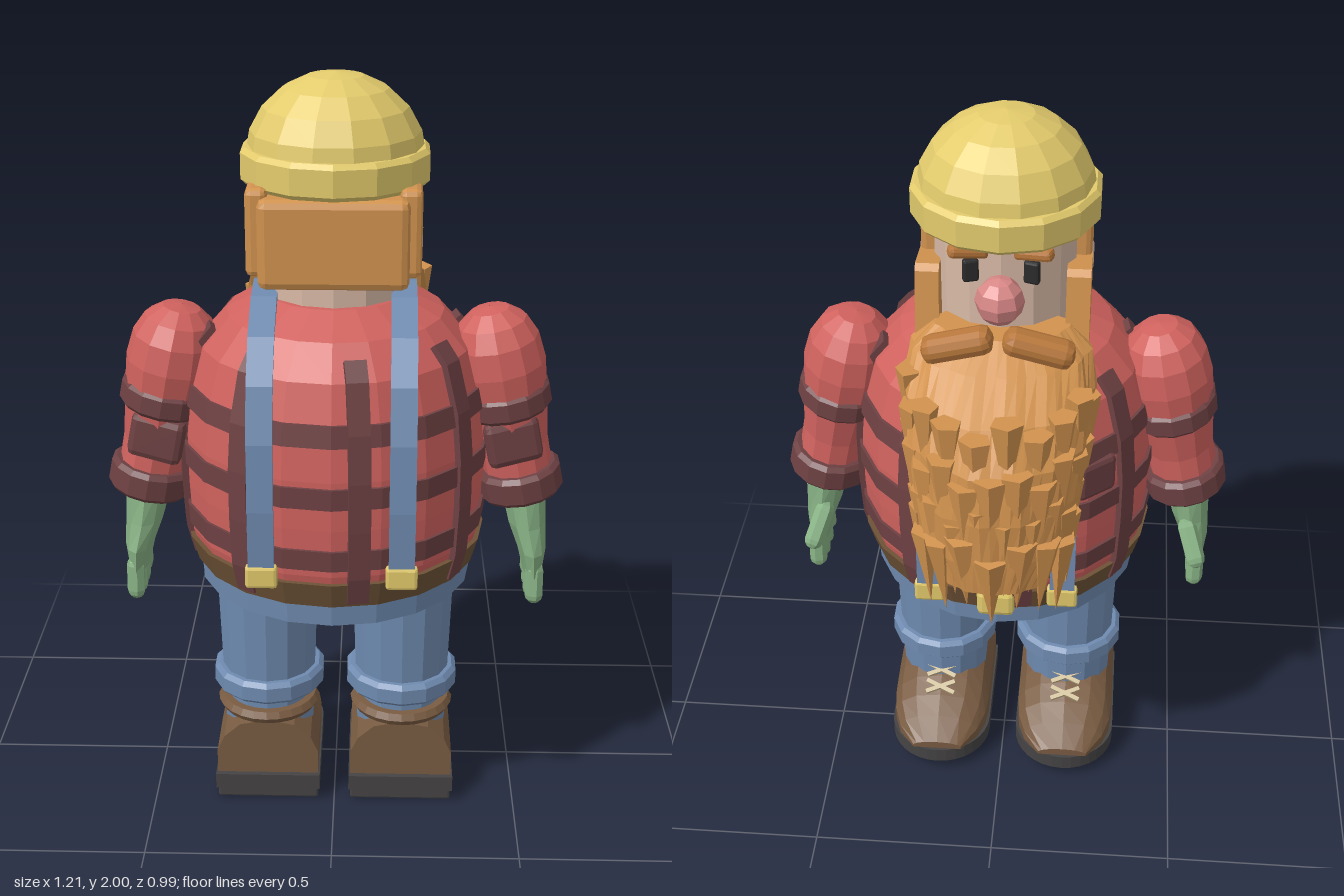
import * as THREE from 'three';
import { RoundedBoxGeometry } from 'three/addons/geometries/RoundedBoxGeometry.js';

const mat = (color) => new THREE.MeshStandardMaterial({ color, flatShading: true, side: THREE.DoubleSide });
const V = (x, y) => new THREE.Vector2(x, y);

// Closed skin over elliptical rings; row = [y, cx, cz, rx, rzFront, rzBack]; the face side is -z
function loft(rows, n, ripple = () => 1) {
  const pos = [], idx = [];
  rows.forEach(([y, cx, cz, rx, rf, rb = rf], i) => {
    for (let j = 0; j < n; j++) {
      const a = (j / n) * Math.PI * 2, k = ripple(a, i), c = Math.cos(a);
      pos.push(cx + rx * k * Math.sin(a), y, cz + (c < 0 ? rf : rb) * k * c);
    }
  });
  const last = rows.length - 1;
  for (let i = 0; i < last; i++) for (let j = 0; j < n; j++) {
    const a = i * n + j, b = i * n + (j + 1) % n;
    idx.push(a, b, b + n, a, b + n, a + n);
  }
  pos.push(rows[0][1], rows[0][0], rows[0][2], rows[last][1], rows[last][0], rows[last][2]);
  const c0 = rows.length * n;
  for (let j = 0; j < n; j++) {
    const k = (j + 1) % n;
    idx.push(c0, k, j, c0 + 1, last * n + j, last * n + k);
  }
  const g = new THREE.BufferGeometry();
  g.setAttribute('position', new THREE.Float32BufferAttribute(pos, 3));
  g.setIndex(idx);
  g.computeVertexNormals();
  return g;
}

// Extrudes a (z, y) outline across x, centred on x = 0
function sideExtrude(points, width) {
  return new THREE.ExtrudeGeometry(new THREE.Shape(points), { depth: width, bevelEnabled: false })
    .rotateY(-Math.PI / 2).translate(width / 2, 0, 0);
}

// Flat band of given thickness following a (z, y) path
function ribbon(path, width, thick) {
  const outer = path.map((p, i) => {
    const a = path[Math.max(i - 1, 0)], b = path[Math.min(i + 1, path.length - 1)];
    const d = b.clone().sub(a).normalize();
    return V(p.x + d.y * thick, p.y - d.x * thick);
  });
  return sideExtrude([...path, ...outer.reverse()], width);
}

export function createModel() {
  const root = new THREE.Group();
  const red = mat(0xd0625e), dark = mat(0x6e4143), blue = mat(0x6f8bb0), brown = mat(0x7a5c42),
    beltBrown = mat(0x6e5236), yellow = mat(0xe3cb6c), orange = mat(0xd2934f), tuft = mat(0xb9783c),
    skin = mat(0xd8b9a6), pink = mat(0xd98886), green = mat(0x86b083), soleGrey = mat(0x454343),
    black = mat(0x2b2b2b), lace = mat(0xc9b890);
  const add = (name, geo, m, x = 0, y = 0, z = 0, parent = root) => {
    const o = new THREE.Mesh(geo, m);
    o.name = name;
    o.position.set(x, y, z);
    parent.add(o);
    return o;
  };
  const rbox = (w, h, d, r = 0.015) => new RoundedBoxGeometry(w, h, d, 1, r);
  const lathe = (pts, n) => new THREE.LatheGeometry(pts, n);

  // Torso with plaid bands and strips
  const CZ = 0.08;
  const profile = [V(0.37, 0.74), V(0.39, 0.82), V(0.397, 0.95), V(0.397, 1.08), V(0.385, 1.2),
    V(0.35, 1.32), V(0.28, 1.4), V(0.18, 1.45), V(0.001, 1.46)];
  const radius = (y) => {
    const i = Math.max(1, profile.findIndex((p) => p.y >= y)), a = profile[i - 1], b = profile[i];
    return a.x + (b.x - a.x) * (y - a.y) / (b.y - a.y);
  };
  add('shirt', lathe(profile, 20), red, 0, 0, CZ);
  for (const y of [0.84, 1.01, 1.17]) {
    const q = y + 0.055;
    add('plaidBand', lathe([V(radius(y) - 0.01, y), V(radius(y) + 0.008, y), V(radius(q) + 0.008, q), V(radius(q) - 0.01, q)], 20), dark, 0, 0, CZ);
  }
  const stripPath = [0.745, 0.82, 0.95, 1.08, 1.2, 1.32, 1.36].map((y) => V(radius(y) - 0.005, y));
  for (let i = 0; i < 8; i++)
    add('plaidStrip', ribbon(stripPath, 0.055, 0.018), dark, 0, 0, CZ).rotation.y = (10 + i * 45) * Math.PI / 180;
  add('belt', lathe([V(0.36, 0.73), V(0.378, 0.73), V(0.398, 0.8), V(0.38, 0.8)], 20), beltBrown, 0, 0, CZ);
  add('trouserHips', new THREE.CylinderGeometry(0.37, 0.365, 0.075, 20), blue, 0, 0.7075, CZ);
  add('buckle', rbox(0.1, 0.08, 0.03), yellow, 0, 0.765, -0.31);
  add('chestPocket', rbox(0.12, 0.11, 0.03), dark, -0.25, 1.125, -0.215).rotation.y = 0.7;

  // Braces with clips
  const strap = [[0.455, 0.83], [0.46, 1], [0.445, 1.17], [0.405, 1.3], [0.32, 1.39], [0.2, 1.45], [0.1, 1.46], [-0.03, 1.44],
    [-0.125, 1.37], [-0.21, 1.27], [-0.27, 1.12], [-0.29, 0.95], [-0.295, 0.78]].map(([z, y]) => V(z, y));
  for (const s of [-1, 1]) {
    add('brace', ribbon(strap, 0.065, 0.018), blue, s * 0.175);
    add('braceClipBack', rbox(0.08, 0.06, 0.03, 0.008), yellow, s * 0.175, 0.82, 0.463);
    add('braceClipFront', rbox(0.08, 0.06, 0.03, 0.008), yellow, s * 0.175, 0.79, -0.3);
  }

  // Boot outline, extruded from heel to toe then tapered
  const arch = new THREE.Shape([V(-0.14, 0), V(0.14, 0), V(0.14, 0.07), V(0.12, 0.115), V(0.075, 0.155),
    V(0, 0.17), V(-0.075, 0.155), V(-0.12, 0.115), V(-0.14, 0.07)]);
  const boot = new THREE.ExtrudeGeometry(arch, { depth: 0.44, steps: 8, bevelEnabled: false }).translate(0, 0, -0.205);
  const hCurve = [1, 1, 1, 1, 0.93, 0.8, 0.65, 0.46, 0.14], wCurve = [1, 1, 1, 1, 1, 1, 0.96, 0.82, 0.5];
  const bp = boot.attributes.position;
  for (let i = 0; i < bp.count; i++) {
    const k = Math.round((0.235 - bp.getZ(i)) / 0.055);
    bp.setXY(i, bp.getX(i) * wCurve[k], bp.getY(i) * hCurve[k]);
  }
  boot.computeVertexNormals();
  const solePlan = new THREE.Shape();
  solePlan.moveTo(-0.145, 0.25).lineTo(0.145, 0.25).lineTo(0.145, -0.07).absellipse(0, -0.07, 0.145, 0.145, 0, -Math.PI, true);
  const sole = new THREE.ExtrudeGeometry(solePlan, { depth: 0.045, bevelEnabled: false, curveSegments: 8 }).rotateX(Math.PI / 2);

  // Legs and boots
  for (const s of [-1, 1]) {
    const x = s * 0.185;
    add('trouserLeg', new THREE.CylinderGeometry(0.142, 0.125, 0.53, 14), blue, x, 0.445, 0.09);
    add('trouserCuff', rboxRing(0.155, 0.3, 0.365), blue, x, 0, 0.09);
    add('boot', boot, brown, x, 0.08, 0);
    add('sole', sole, soleGrey, x, 0.08, 0);
    add('heel', rbox(0.28, 0.045, 0.11, 0.006), soleGrey, x, 0.0225, 0.185);
    add('bootCollar', new THREE.TorusGeometry(0.122, 0.02, 6, 12, Math.PI).rotateX(Math.PI / 2), brown, x, 0.268, 0.12);
    for (const z of [-0.035, -0.08]) for (const t of [-1, 1]) {
      const l = add('lace', new THREE.BoxGeometry(0.09, 0.012, 0.012), lace, x, z < -0.05 ? 0.21 : 0.235, z);
      l.rotation.set(-0.5, t * 0.4, 0);
    }
  }

  // Arms and hands
  for (const s of [-1, 1]) {
    const arm = new THREE.Group();
    arm.name = s > 0 ? 'leftArm' : 'rightArm';
    arm.position.set(s * 0.42, 1.28, 0.085);
    arm.rotation.z = s * 0.2;
    arm.scale.x = 0.91;
    root.add(arm);
    add('sleeve', lathe([V(0.001, -0.39), V(0.1, -0.39), V(0.102, -0.25), V(0.12, -0.14), V(0.133, -0.03), V(0.125, 0.04),
      V(0.1, 0.09), V(0.055, 0.122), V(0.001, 0.13)], 12), red, 0, 0, 0, arm);
    add('sleeveBand', rboxRing(0.133, -0.155, -0.085), dark, 0, 0, 0, arm);
    add('sleeveCuff', rboxRing(0.125, -0.395, -0.315), dark, 0, 0, 0, arm);
    const patch = add('elbowPatch', rbox(0.16, 0.125, 0.05, 0.02), dark, 0, -0.215, 0.088, arm);
    patch.rotation.y = s * 0.15;

    add('palm', loft([[0.67, s * 0.535, 0.09, 0.027, 0.098], [0.74, s * 0.53, 0.09, 0.04, 0.105],
      [0.81, s * 0.515, 0.085, 0.052, 0.09], [0.92, s * 0.5, 0.08, 0.064, 0.078]], 10), green);
    for (let i = 0; i < 4; i++)
      add('finger', new THREE.CapsuleGeometry(0.025, 0.07 + (i % 3 ? 0.02 : 0), 3, 7), green, s * 0.537, 0.655, 0.01 + i * 0.052)
        .rotation.x = (1.5 - i) * 0.08;
    const thumb = add('thumb', new THREE.CapsuleGeometry(0.027, 0.09, 3, 7), green, s * 0.52, 0.765, -0.025);
    thumb.rotation.set(0.65, 0, s * 0.3);
  }

  // Head, face and hat
  const HZ = 0.065;
  add('head', new THREE.CylinderGeometry(0.182, 0.182, 0.38, 14), skin, 0, 1.59, HZ);
  add('hatDome', new THREE.SphereGeometry(0.225, 14, 5, 0, Math.PI * 2, 0, Math.PI / 2).scale(1, 0.93, 1), yellow, 0, 1.79, HZ);
  add('hatBrim', rboxRing(0.24, 1.73, 1.82), yellow, 0, 0, HZ);
  add('nose', new THREE.SphereGeometry(0.062, 8, 6), pink, 0, 1.6, -0.155);
  add('hairBack', rbox(0.37, 0.225, 0.09, 0.02), orange, 0, 1.618, 0.245);
  for (const s of [-1, 1]) {
    add('hairSide', rbox(0.055, 0.22, 0.21), orange, s * 0.188, 1.64, 0.15);
    add('ear', rbox(0.05, 0.09, 0.07, 0.02), skin, s * 0.195, 1.595, 0.095);
    add('sideburn', sideExtrude([V(0.11, 1.6), V(0.09, 1.615), V(-0.05, 1.635), V(-0.065, 1.62), V(-0.1, 1.42), V(0.06, 1.45)], 0.06),
      orange, s * 0.188);
    add('eye', rbox(0.04, 0.06, 0.02, 0.006), black, s * 0.075, 1.655, -0.108).rotation.y = s * 0.3;
    add('eyebrow', rbox(0.1, 0.03, 0.035, 0.01), tuft, s * 0.08, 1.71, -0.115).rotation.set(0, s * 0.35, s * 0.15);
    add('moustache', rbox(0.18, 0.065, 0.075, 0.025), tuft, s * 0.1, 1.505, -0.21).rotation.z = -s * 0.25;
  }

  // Beard: ridged mass with layers of pointed locks
  const beard = [[0.92, 0, -0.36, 0.14, 0.1, 0.04], [1.02, 0, -0.31, 0.195, 0.16, 0.05], [1.15, 0, -0.25, 0.22, 0.225, 0.05],
    [1.28, 0, -0.2, 0.235, 0.26, 0.07], [1.38, 0, -0.16, 0.238, 0.235, 0.09], [1.45, 0, -0.1, 0.225, 0.17, 0.07], [1.5, 0, -0.08, 0.17, 0.1, 0.05]];
  add('beard', loft(beard, 56, (a, i) => 1 + 0.025 * Math.cos(14 * a + i * 0.9)), orange);
  const lock = new THREE.ConeGeometry(0.042, 0.24, 5).rotateX(Math.PI).scale(1, 1, 0.8);
  [[0.97, 0.185, 0.125, -0.325, 9], [1.06, 0.19, 0.16, -0.29, 10], [1.18, 0.21, 0.225, -0.235, 11], [1.3, 0.222, 0.235, -0.195, 10]]
    .forEach(([y, rx, rz, cz, n], row) => {
      for (let i = 0; i < n; i++) {
        const a = (i / (n - 1) - 0.5) * Math.PI * 0.98;
        const l = add('beardLock', lock, orange, rx * Math.sin(a), y - 0.02 + 0.03 * Math.cos(i * 2.4 + row), cz - rz * Math.cos(a));
        l.rotation.set(row ? 0 : -0.12, -a, row ? 0 : -0.15 * Math.sin(a));
      }
    });
  return root;
}

// Solid ring band with chamfered rim
function rboxRing(r, y0, y1) {
  const c = 0.012;
  return new THREE.LatheGeometry([V(0.001, y0), V(r - c, y0), V(r, y0 + c), V(r, y1 - c), V(r - c, y1), V(0.001, y1)], 14);
}
